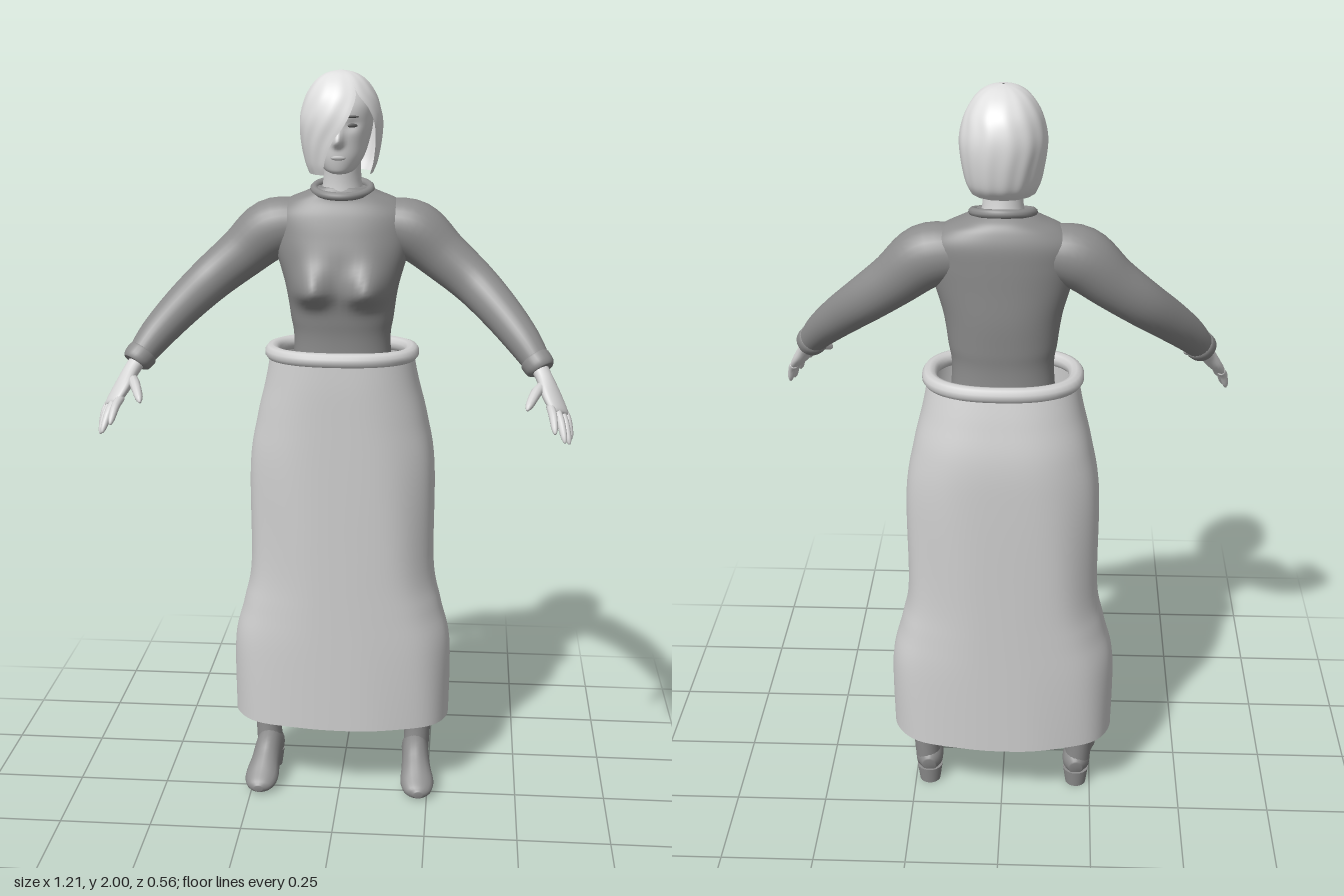
import * as THREE from 'three';

const mat = (name, color, side = THREE.FrontSide) => {
  const m = new THREE.MeshStandardMaterial({ color, side });
  m.name = name;
  return m;
};

// Catmull-Rom subdivision of rows of numbers
function refine(rows, n) {
  const out = [], last = rows.length - 1;
  for (let i = 0; i < last; i++) {
    const p0 = rows[Math.max(i - 1, 0)], p1 = rows[i], p2 = rows[i + 1], p3 = rows[Math.min(i + 2, last)];
    for (let k = 0; k < n; k++) {
      const t = k / n;
      out.push(p1.map((b, j) => {
        const a = p0[j], c = p2[j], d = p3[j];
        return b + 0.5 * t * (c - a + t * (2 * a - 5 * b + 4 * c - d + t * (3 * (b - c) + d - a)));
      }));
    }
  }
  out.push(rows[last]);
  return out;
}

// Skin a list of rings; closed rings wrap, capped ends get a fan
function skin(rings, { closed = true, caps = true } = {}) {
  const n = rings[0].length, pos = rings.flat().flatMap(p => p.toArray()), idx = [];
  for (let i = 0; i < rings.length - 1; i++) {
    for (let j = 0; j < (closed ? n : n - 1); j++) {
      const k = (j + 1) % n, a = i * n + j, b = i * n + k;
      idx.push(a, b, b + n, a, b + n, a + n);
    }
  }
  if (caps) {
    [0, rings.length - 1].forEach((r, end) => {
      const c = rings[r].reduce((s, p) => s.add(p), new THREE.Vector3()).divideScalar(n);
      const id = pos.length / 3;
      pos.push(c.x, c.y, c.z);
      for (let j = 0; j < n; j++) {
        const a = r * n + j, b = r * n + (j + 1) % n;
        if (end) idx.push(id, a, b); else idx.push(id, b, a);
      }
    });
  }
  const g = new THREE.BufferGeometry();
  g.setAttribute('position', new THREE.Float32BufferAttribute(pos, 3));
  g.setIndex(idx);
  g.computeVertexNormals();
  return g;
}

// Point on a horizontal superellipse; row = [y, halfWidth, zFront, zBack]
function around([y, rx, zf, zb], a, e = 2) {
  const p = v => Math.sign(v) * Math.abs(v) ** (2 / e);
  return new THREE.Vector3(rx * p(Math.sin(a)), y, (zf + zb) / 2 + (zf - zb) / 2 * p(Math.cos(a)));
}

// Upright body, rows from bottom to top
function upright(rows, { e = 2, n = 48, sub = 4, rule, caps = true } = {}) {
  return skin(refine(rows, sub).map(r => Array.from({ length: n }, (_, j) => {
    const a = j / n * Math.PI * 2, p = around(r, a, e);
    if (rule) rule(p, a);
    return p;
  })), { caps });
}

// Limb along a path; row = [x, y, z, halfWidth along w, halfThickness], mirrored by s
function limb(rows, s, w, n = 20, sub = 5) {
  const r = refine(rows, sub), c = r.map(q => new THREE.Vector3(q[0] * s, q[1], q[2]));
  const side = new THREE.Vector3(w[0] * s, w[1], w[2]);
  return skin(r.map((q, i) => {
    const t = c[Math.min(i + 1, c.length - 1)].clone().sub(c[Math.max(i - 1, 0)]).normalize();
    const u = side.clone().addScaledVector(t, -side.dot(t)).normalize();
    const v = t.clone().cross(u);
    return Array.from({ length: n }, (_, j) => {
      const a = j / n * Math.PI * 2;
      return c[i].clone().addScaledVector(u, q[3] * Math.cos(a)).addScaledVector(v, q[4] * Math.sin(a));
    });
  }));
}

// Closed rounded band through points
const band = (pts, r) => new THREE.TubeGeometry(new THREE.CatmullRomCurve3(pts, true), 64, r, 10, true);

export function createModel() {
  const model = new THREE.Group();
  const sweater = mat('sweater grey', 0x8c8c8c), skinMat = mat('skin', 0xd6d6d6);
  const cloth = mat('skirt cloth', 0xd0d0d0, THREE.DoubleSide), boots = mat('boot grey', 0x8e8e8e);
  const hairMat = mat('hair', 0xe0e0e0, THREE.DoubleSide), dark = mat('eye dark', 0x5a5a5a);
  const lip = mat('lip', 0xb4b4b4);
  const add = (name, geo, m) => {
    const mesh = new THREE.Mesh(geo, m);
    mesh.name = name;
    model.add(mesh);
    return mesh;
  };

  // Sweater body with bust shaped by a smooth bump rule
  add('sweaterBody', upright([
    [1.08, .15, -.01, -.2], [1.28, .13, -.01, -.19], [1.36, .138, 0, -.195], [1.44, .15, .012, -.2],
    [1.52, .172, .008, -.2], [1.58, .185, -.005, -.2], [1.63, .187, -.02, -.198], [1.665, .15, -.035, -.188],
    [1.687, .1, -.04, -.175], [1.702, .066, -.045, -.155],
  ], {
    e: 2.3, n: 64, sub: 7, rule: (p, a) => {
      if (Math.cos(a) <= 0) return;
      const dy = p.y - 1.435, sy = dy < 0 ? .032 : .06;
      p.z += .05 * Math.exp(-(((Math.abs(p.x) - .072) / .045) ** 2) - (dy / sy) ** 2);
    },
  }), sweater);
  add('collar', band(Array.from({ length: 16 }, (_, j) => {
    const a = j / 16 * Math.PI * 2;
    return new THREE.Vector3(.074 * Math.sin(a), 1.697 - .015 * Math.cos(a), -.095 + .066 * Math.cos(a));
  }), .011), sweater);

  // Skirt, open at both ends, with soft folds
  add('skirt', upright([
    [.205, .305, .05, -.275], [.42, .305, .05, -.275], [.54, .278, .05, -.275], [.66, .256, .05, -.275],
    [.94, .254, .05, -.275], [1.08, .232, .05, -.27], [1.18, .208, .05, -.25], [1.25, .194, .048, -.232],
  ], {
    e: 2.5, n: 72, sub: 6, caps: false, rule: (p, a) => {
      p.z += .003 * Math.sin(a * 7 + p.y * 5) * Math.min(1, (1.25 - p.y) * 2);
    },
  }), cloth);
  add('waistband', band(Array.from({ length: 24 }, (_, j) =>
    around([1.263, .188, .04, -.222], j / 24 * Math.PI * 2, 2.4)), .02), cloth);

  for (const s of [1, -1]) {
    const side = s > 0 ? 'left' : 'right';
    // Sleeve and cuff
    add(side + 'Sleeve', limb([
      [.11, 1.6, -.11, .07, .07], [.19, 1.585, -.108, .075, .08], [.27, 1.52, -.1, .063, .068],
      [.35, 1.455, -.075, .055, .06], [.42, 1.39, -.02, .052, .053], [.48, 1.325, .04, .045, .045],
      [.522, 1.268, .085, .034, .034],
    ], s, [0, 0, 1], 28), sweater);
    add(side + 'Cuff', limb([
      [.507, 1.287, .07, .036, .036], [.511, 1.282, .074, .041, .041], [.523, 1.268, .088, .039, .039],
      [.528, 1.261, .093, .032, .032],
    ], s, [0, 0, 1], 24), sweater);

    // Palm, fingers and thumb
    const across = [-.04, .025, .05];
    add(side + 'Palm', limb([
      [.515, 1.275, .08, .025, .022], [.535, 1.243, .115, .027, .02], [.552, 1.208, .15, .039, .019],
      [.57, 1.176, .185, .038, .014], [.573, 1.17, .191, .025, .007],
    ], s, across, 20), skinMat);
    const fingers = [
      ['Index', [.548, 1.188, .205], [.557, 1.142, .276]], ['Middle', [.563, 1.18, .192], [.583, 1.115, .257]],
      ['Ring', [.576, 1.17, .177], [.596, 1.103, .225]], ['Little', [.585, 1.166, .162], [.602, 1.107, .192]],
      ['Thumb', [.528, 1.228, .135], [.488, 1.19, .234]],
    ];
    for (const [name, k, t] of fingers) {
      const mix = (f, r) => [...k.map((v, i) => v + (t[i] - v) * f + (i === 1 ? .01 * Math.sin(f * Math.PI) : 0)), r, r];
      const thick = name === 'Thumb' ? .014 : .011;
      add(side + name, limb([mix(-.15, thick), mix(.4, thick), mix(.85, thick * .75), mix(1, .003)], s, across, 10, 3), skinMat);
    }

    // Leg
    add(side + 'Leg', limb([
      [.1, 1.12, -.11, .085, .085], [.13, .85, -.11, .075, .08], [.17, .58, -.115, .055, .058],
      [.2, .4, -.13, .05, .055], [.215, .14, -.128, .033, .036],
    ], s, [1, 0, 0], 20), skinMat);

    // Boot: shaft, foot and heel
    add(side + 'BootShaft', limb([
      [.217, .19, -.129, .04, .045], [.216, .13, -.126, .037, .044], [.213, .06, -.12, .036, .045],
    ], s, [1, 0, 0]), boots);
    add(side + 'BootFoot', limb([
      [.21, .065, -.168, .018, .025], [.21, .072, -.14, .037, .045], [.213, .078, -.09, .038, .055],
      [.217, .056, -.04, .041, .045], [.222, .034, .01, .047, .031], [.226, .021, .045, .036, .02],
      [.227, .018, .06, .012, .01],
    ], s, [1, 0, 0]), boots);
    const heel = add(side + 'BootHeel', new THREE.CylinderGeometry(.036, .029, .05, 20), boots);
    heel.position.set(.21 * s, .025, -.136);
  }

  // Neck and head, with a nose bump and chin
  add('neck', upright([[1.66, .062, -.04, -.165], [1.72, .05, -.042, -.148], [1.8, .05, -.03, -.14]]), skinMat);
  add('head', upright([
    [1.745, .02, .025, -.03], [1.755, .04, .034, -.06], [1.785, .06, .042, -.1], [1.82, .072, .045, -.145],
    [1.87, .082, .046, -.168], [1.92, .08, .038, -.16], [1.96, .052, .005, -.125], [1.975, .01, -.05, -.07],
  ], {
    n: 72, sub: 8, rule: (p, a) => {
      if (Math.cos(a) <= 0) return;
      const dy = p.y - 1.826;
      p.z += .026 * Math.exp(-((p.x / .011) ** 2) - (dy / (dy < 0 ? .011 : .03)) ** 2);
      p.z -= .007 * Math.exp(-(((Math.abs(p.x) - .034) / .018) ** 2) - ((p.y - 1.868) / .014) ** 2);
    },
  }), skinMat);
  const disc = new THREE.SphereGeometry(1, 16, 10);
  for (const s of [1, -1]) {
    const parts = [['Eye', 1.867, .014, .005, .031], ['Brow', 1.889, .018, .003, .036]];
    for (const [name, y, w, h, z] of parts) {
      const m = add((s > 0 ? 'left' : 'right') + name, disc, dark);
      m.position.set(.035 * s, y, z);
      m.scale.set(w, h, .004);
      m.rotation.y = .35 * s;
    }
  }
  const mouth = add('mouth', disc, lip);
  mouth.position.set(0, 1.787, .042);
  mouth.scale.set(.019, .006, .004);

  // Bobbed hair: shell open over the face, fringe sweeping across one side.
  // row = [y, halfWidth, zFront, zBack, fringe edge angle, other edge angle]
  const hairRows = refine([
    [1.742, .082, .04, -.152, -.42, 1.2], [1.77, .093, .05, -.175, -.36, 1.15], [1.82, .103, .06, -.188, -.15, 1.08],
    [1.87, .107, .064, -.192, .14, .98], [1.91, .1, .058, -.186, .34, .82], [1.945, .086, .043, -.17, .5, .56],
    [1.975, .064, .016, -.14, .52, .52], [1.993, .036, -.018, -.102, .52, .52], [2, .003, -.056, -.064, .52, .52],
  ], 6);
  const strands = 96;
  add('hair', skin(hairRows.map(r => Array.from({ length: strands + 1 }, (_, j) => {
    const from = r[5], to = r[4] + Math.PI * 2, a = from + (to - from) * j / strands;
    const p = around(r, a, 2.15), groove = 1 + .008 * Math.sin(j * .8);
    p.x *= groove;
    p.z = -.06 + (p.z + .06) * groove;
    return p;
  })), { closed: false, caps: false }), hairMat);

  return model;
}
